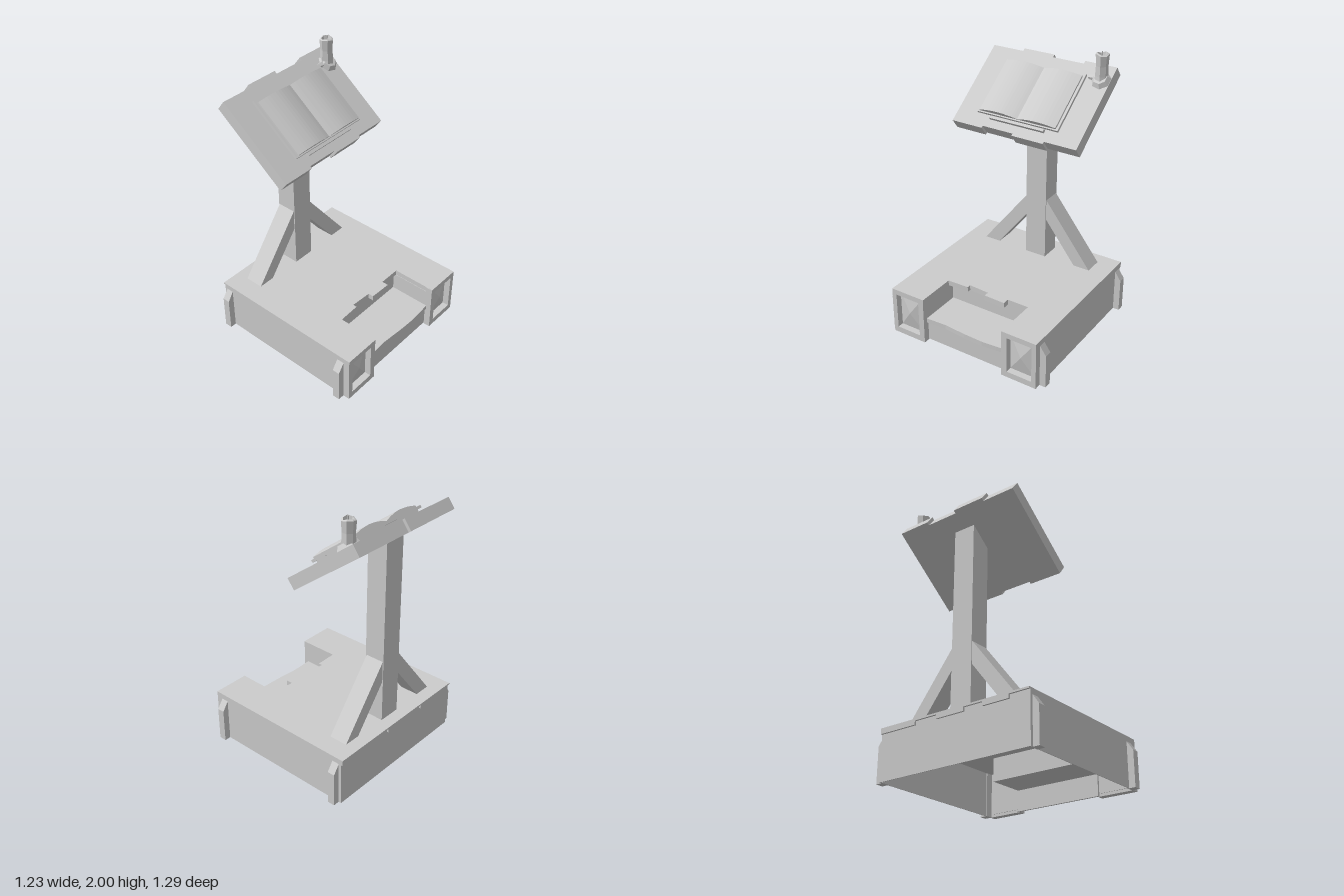
import * as THREE from 'three';

const mat = new THREE.MeshStandardMaterial({ color: 0xcccccc, flatShading: true, side: THREE.DoubleSide });
const smoothMat = new THREE.MeshStandardMaterial({ color: 0xcccccc, side: THREE.DoubleSide });

function add(parent, name, geometry, material = mat) {
  const mesh = new THREE.Mesh(geometry, material);
  mesh.name = name;
  parent.add(mesh);
  return mesh;
}

// Box given by its limits on each axis
function box(x0, x1, y0, y1, z0, z1) {
  return new THREE.BoxGeometry(x1 - x0, y1 - y0, z1 - z0)
    .translate((x0 + x1) / 2, (y0 + y1) / 2, (z0 + z1) / 2);
}

const vecs = (pts) => pts.map(([a, b]) => new THREE.Vector2(a, b));
const rect = (a0, a1, b0, b1) => [[a0, b0], [a1, b0], [a1, b1], [a0, b1]];

function extrude(pts, depth, holes = []) {
  const shape = new THREE.Shape(vecs(pts));
  for (const h of holes) shape.holes.push(new THREE.Path(vecs(h)));
  return new THREE.ExtrudeGeometry(shape, { depth, bevelEnabled: false });
}

// Outline in (x, z), raised from y0 to y1
function slab(pts, y0, y1, holes = []) {
  const flip = (list) => list.map(([x, z]) => [x, -z]);
  return extrude(flip(pts), y1 - y0, holes.map(flip)).rotateX(-Math.PI / 2).translate(0, y0, 0);
}

// Outline in (z, y), running from x0 to x1
function alongX(pts, x0, x1, holes = []) {
  return extrude(pts, x1 - x0, holes).rotateY(-Math.PI / 2).translate(x1, 0, 0);
}

// Hollow square tube whose corners are placed by place(x, top, z), with x and z as -1 or 1
function tube(place) {
  const geo = new THREE.CylinderGeometry(1, 1, 1, 4, 1, true).rotateY(Math.PI / 4);
  const p = geo.attributes.position;
  for (let i = 0; i < p.count; i++) {
    p.setXYZ(i, ...place(Math.sign(p.getX(i)), p.getY(i) > 0, Math.sign(p.getZ(i))));
  }
  geo.computeVertexNormals();
  return geo;
}

function makePlatform() {
  const g = new THREE.Group();
  g.name = 'platform';

  // Deck with a ragged step cut-out and sockets for the post and braces
  const deck = [
    [-0.575, -0.6], [0.615, -0.6], [0.615, -0.33], [0.285, -0.33], [0.285, -0.165], [0.335, -0.165],
    [0.33, 0], [0.29, 0], [0.28, 0.16], [0.31, 0.16], [0.315, 0.325], [0.615, 0.325], [0.615, 0.6], [-0.575, 0.6],
  ];
  add(g, 'deck', slab(deck, 0.322, 0.362, [
    rect(-0.498, -0.346, -0.083, 0.083),
    rect(-0.492, -0.353, 0.33, 0.455),
    rect(-0.492, -0.353, -0.455, -0.33),
  ]));

  // Uneven board ends along the back edge
  const ends = [-0.6, -0.3, -0.12, 0.1, 0.25, 0.45, 0.6];
  for (let i = 0; i < ends.length - 1; i++) {
    add(g, 'deckBoardEnd', box(-0.588, -0.575, i % 2 ? 0.35 : 0.322, 0.362, ends[i], ends[i + 1]));
  }

  // Hollow shell of thin boards
  add(g, 'backWall', box(-0.575, -0.57, 0, 0.322, -0.6, 0.6));
  for (const s of [-1, 1]) {
    const side = new THREE.Group();
    side.name = s > 0 ? 'leftSide' : 'rightSide';
    g.add(side);
    const wall = (z0, z1) => [Math.min(s * z0, s * z1), Math.max(s * z0, s * z1)];
    add(side, 'sideWall', box(-0.57, 0.575, 0, 0.322, ...wall(0.595, 0.6)));
    add(side, 'stepCheek', box(0.26, 0.575, 0.153, 0.322, ...wall(0.327, 0.332)));

    // Framed end with a raised pyramid panel
    add(side, 'endFrame', alongX(rect(...wall(0.327, 0.6), 0, 0.361), 0.565, 0.615,
      [rect(...wall(0.37, 0.565), 0.045, 0.325)]));
    add(side, 'panelBack', box(0.56, 0.567, 0.02, 0.335, ...wall(0.345, 0.58)));
    const pyramid = new THREE.ConeGeometry(Math.SQRT1_2, 1, 4).rotateY(Math.PI / 4)
      .scale(0.28, 0.028, 0.195).rotateZ(-Math.PI / 2).translate(0.581, 0.185, s * 0.4675);
    add(side, 'pyramidPanel', pyramid);

    // Chamfered corner battens
    for (const x of [-0.555, 0.51]) {
      add(side, 'batten', alongX([[s * 0.59, 0], [s * 0.647, 0], [s * 0.647, 0.255], [s * 0.6, 0.322], [s * 0.59, 0.322]],
        x, x + 0.055));
    }
  }

  // Step with a worn front edge
  add(g, 'stepTread', slab([
    [0.26, -0.33], [0.575, -0.33], [0.582, -0.26], [0.59, -0.15], [0.585, 0], [0.572, 0.17], [0.58, 0.33], [0.26, 0.33],
  ], 0.153, 0.188));
  add(g, 'stepFrontBoard', box(0.545, 0.56, 0, 0.153, -0.34, 0.34));
  add(g, 'stepRiser', box(0.26, 0.266, 0.153, 0.322, -0.33, 0.33));
  return g;
}

function makeStand() {
  const g = new THREE.Group();
  g.name = 'stand';
  // Post with its top cut to the slope of the desk
  add(g, 'post', tube((x, top, z) => [
    -0.422 + x * 0.076, top ? 1.715 - x * 0.056 : 0.36, z * 0.083,
  ]));
  // Leaning braces with upright and level end cuts
  for (const s of [-1, 1]) {
    add(g, 'brace', tube((x, top, z) => [
      -0.4225 + x * 0.0695,
      top ? 0.76 + s * z * 0.08 : 0.36,
      top ? s * 0.08 : s * 0.3925 + z * 0.0625,
    ]));
  }
  return g;
}

function makeDesk() {
  // Local x runs down the slope, local y is the surface normal
  const g = new THREE.Group();
  g.name = 'desk';
  g.position.set(-0.29, 1.665, 0);
  g.rotation.z = -0.645;

  // Four staggered planks
  for (let i = 0; i < 4; i++) {
    const [start, end] = i % 2 ? [-0.318, 0.346] : [-0.341, 0.329];
    add(g, 'plank', box(start, end, -0.088, 0, -0.49 + i * 0.245, -0.245 + i * 0.245));
  }
  add(g, 'bookLedge', box(0.247, 0.268, -0.005, 0.022, -0.215, 0.215));

  // Open book: cover on a rest, and two curved page blocks
  const book = new THREE.Group();
  book.name = 'book';
  g.add(book);
  add(book, 'rest', box(-0.2, 0.225, -0.002, 0.018, -0.3, 0.3));
  add(book, 'cover', box(-0.222, 0.245, 0.016, 0.034, -0.32, 0.32));
  for (const s of [-1, 1]) {
    const top = new THREE.SplineCurve(vecs([[0, 0.038], [s * 0.05, 0.053], [s * 0.13, 0.066], [s * 0.22, 0.062], [s * 0.302, 0.046]]));
    const outline = [[s * 0.302, 0.032], [0, 0.032], ...top.getPoints(14).map((p) => [p.x, p.y])];
    add(book, 'pages', alongX(outline, -0.197, 0.235), smoothMat);
  }
  return g;
}

function makeCandle() {
  const g = new THREE.Group();
  g.name = 'candle';
  g.position.set(-0.47, 1.8, -0.42);
  // Faceted shaft with a melted hollow
  const shaft = new THREE.LatheGeometry(vecs([
    [0.055, -0.03], [0.047, 0.03], [0.044, 0.1], [0.049, 0.178], [0.037, 0.184], [0.028, 0.155], [0, 0.148],
  ]), 7);
  // Uneven rim
  const p = shaft.attributes.position;
  for (let i = 0; i < p.count; i++) {
    if (p.getY(i) > 0.16) p.setY(i, p.getY(i) + 0.007 * Math.sin(2 * Math.atan2(p.getZ(i), p.getX(i))));
  }
  shaft.computeVertexNormals();
  add(g, 'shaft', shaft);
  add(g, 'wick', new THREE.CylinderGeometry(0.004, 0.005, 0.055, 5).translate(0.004, 0.172, 0));

  // Wax pool lying on the slope, with one run to the side
  const pool = new THREE.Group();
  pool.name = 'wax';
  pool.rotation.z = -0.645;
  g.add(pool);
  add(pool, 'waxPool', new THREE.CylinderGeometry(0.05, 0.074, 0.034, 7).translate(0.008, 0.014, -0.003));
  add(pool, 'waxRun', new THREE.CylinderGeometry(0.018, 0.028, 0.075, 5).rotateX(Math.PI / 2).translate(0, 0.002, 0.053));
  return g;
}

export function createModel() {
  const model = new THREE.Group();
  model.name = 'lectern';
  model.add(makePlatform(), makeStand(), makeDesk(), makeCandle());
  return model;
}
